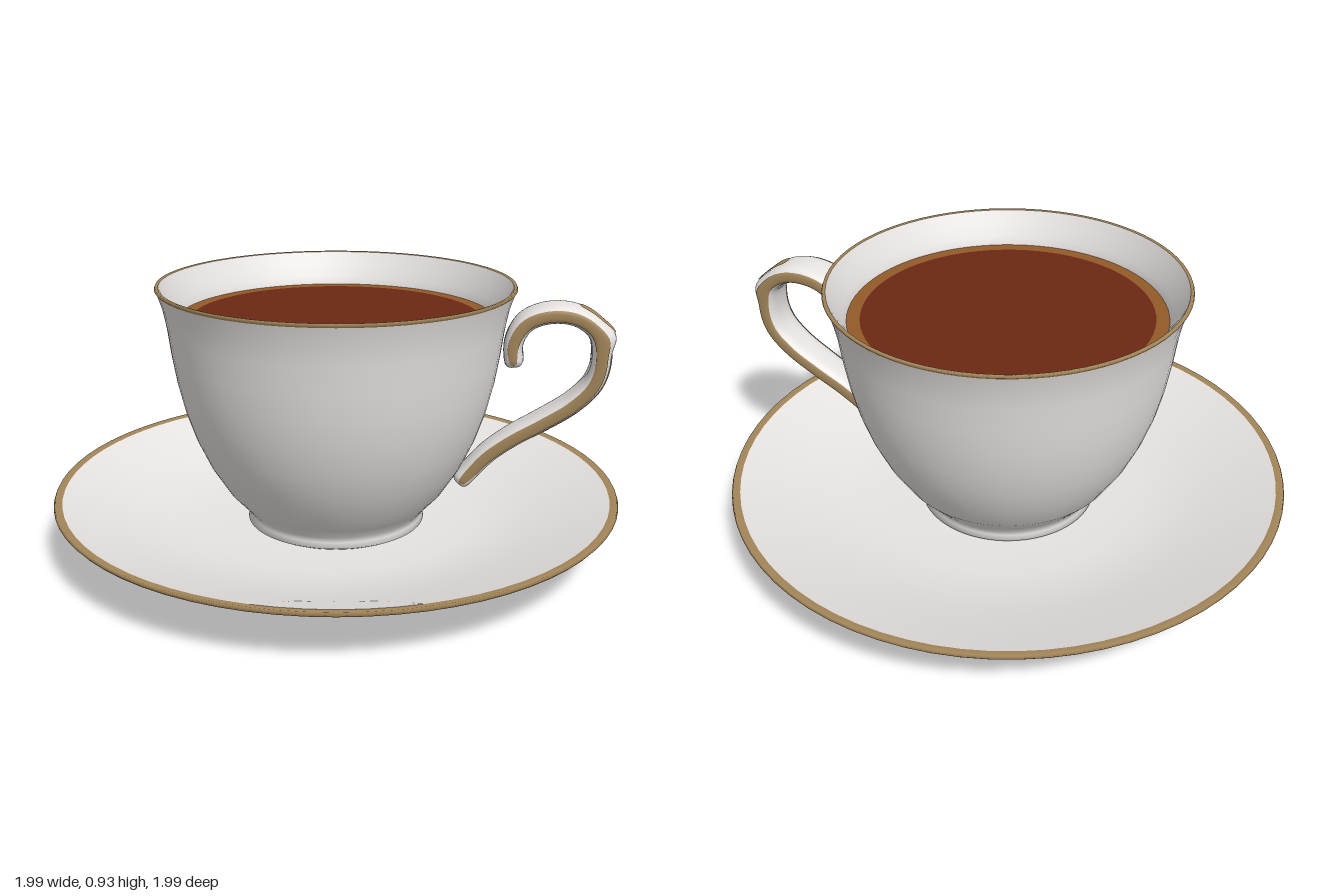
import * as THREE from 'three';
import { mergeVertices } from 'three/addons/utils/BufferGeometryUtils.js';

const material = (name, color, side = THREE.FrontSide) => {
  const m = new THREE.MeshStandardMaterial({ color, side });
  m.name = name;
  return m;
};

// Surface of revolution from [radius, height] pairs
const lathe = (pairs) => new THREE.LatheGeometry(pairs.map(([r, y]) => new THREE.Vector2(r, y)), 72);

// Centre line of the handle, from the upper scroll to the lower tip
const handlePath = new THREE.CatmullRomCurve3([
  [0.618, 0.66], [0.612, 0.75], [0.65, 0.82], [0.73, 0.853], [0.82, 0.845], [0.885, 0.795], [0.902, 0.7],
  [0.882, 0.62], [0.82, 0.547], [0.72, 0.475], [0.62, 0.41], [0.54, 0.345], [0.48, 0.275], [0.437, 0.225],
].map(([x, y]) => new THREE.Vector3(x, y, 0)), false, 'centripetal');

const soften = (v) => Math.sign(v) * Math.abs(v) ** 0.7;

// Point on the handle's skin: t along the path, a around it (0 = outer face)
function handlePoint(t, a, lift) {
  const c = handlePath.getPointAt(t);
  const d = handlePath.getTangentAt(t);
  const end = Math.min(1, Math.min(t, 1 - t) / 0.025);
  const round = Math.sqrt(1 - (1 - end) ** 2);
  const thumb = Math.cos(a) > 0 ? 0.02 * Math.exp(-(((t - 0.38) / 0.025) ** 2)) : 0;
  const n = soften(Math.cos(a)) * ((0.033 + thumb) * round + lift);
  const w = soften(Math.sin(a)) * ((0.075 - 0.02 * t * t) * round + lift);
  return [c.x - d.y * n, c.y + d.x * n, w];
}

// Sweep a strip of the handle's skin; halfAngle(s) is its half width, s from -1 to 1
function handleStrip(t0, t1, middle, halfAngle, lift, rows, cols) {
  const position = [];
  const index = [];
  for (let i = 0; i <= rows; i++) {
    const half = halfAngle((2 * i) / rows - 1);
    for (let j = 0; j <= cols; j++) {
      const a = middle + half * ((2 * j) / cols - 1);
      position.push(...handlePoint(t0 + ((t1 - t0) * i) / rows, a, lift));
      if (i < rows && j < cols) {
        const p = i * (cols + 1) + j;
        const q = p + cols + 1;
        index.push(p, p + 1, q, p + 1, q + 1, q);
      }
    }
  }
  const g = new THREE.BufferGeometry();
  g.setAttribute('position', new THREE.Float32BufferAttribute(position, 3));
  g.setIndex(index);
  const merged = mergeVertices(g, 1e-5);
  merged.computeVertexNormals();
  return merged;
}

export function createModel() {
  const porcelain = material('porcelain', 0xe8e4e2);
  const gold = material('gold trim', 0xa3865a, THREE.DoubleSide);
  const tea = material('tea', 0x6b2813);
  const teaEdgeColor = material('tea edge', 0x945b28);

  const model = new THREE.Group();
  const add = (name, geometry, mat, parent = model) => {
    const mesh = new THREE.Mesh(geometry, mat);
    mesh.name = name;
    parent.add(mesh);
    return mesh;
  };
  const group = (name) => {
    const g = new THREE.Group();
    g.name = name;
    model.add(g);
    return g;
  };

  // Saucer: underside, gilded edge, dished top
  const saucer = group('saucer');
  add('saucerUnderside', lathe([[0, 0.004], [0.3, 0], [0.42, 0.008], [0.52, 0.02], [0.6, 0.04],
    [0.75, 0.095], [0.88, 0.143], [0.99, 0.185]]), porcelain, saucer);
  add('saucerGoldRim', lathe([[0.99, 0.185], [0.997, 0.193], [0.993, 0.202], [0.968, 0.197]]), gold, saucer);
  add('saucerTop', lathe([[0.968, 0.197], [0.85, 0.157], [0.72, 0.115], [0.6, 0.084], [0.48, 0.068],
    [0.3, 0.062], [0, 0.06]]), porcelain, saucer);

  // Cup: foot and flared outer wall, gilded lip, inner wall
  const cup = group('cup');
  add('cupOutside', lathe([[0, 0.065], [0.3, 0.065], [0.318, 0.075], [0.312, 0.095], [0.315, 0.115],
    [0.345, 0.15], [0.39, 0.2], [0.452, 0.3], [0.497, 0.4], [0.53, 0.5], [0.553, 0.6], [0.569, 0.7],
    [0.58, 0.79], [0.593, 0.86], [0.611, 0.917]]), porcelain, cup);
  add('cupGoldLip', lathe([[0.611, 0.917], [0.617, 0.924], [0.614, 0.931], [0.604, 0.929]]), gold, cup);
  add('cupInside', lathe([[0.604, 0.929], [0.58, 0.885], [0.556, 0.84], [0.54, 0.8], [0.525, 0.7],
    [0.49, 0.5], [0.42, 0.32], [0.3, 0.17], [0, 0.13]]), porcelain, cup);

  // Tea surface with a paler edge
  const drink = group('drink');
  add('teaSurface', new THREE.CircleGeometry(0.5, 72).rotateX(-Math.PI / 2), tea, drink).position.y = 0.812;
  add('teaEdge', new THREE.RingGeometry(0.5, 0.546, 72).rotateX(-Math.PI / 2), teaEdgeColor, drink).position.y = 0.812;

  // Scrolled handle
  const handle = group('handle');
  add('handleBody', handleStrip(0, 1, 0, () => Math.PI, 0, 110, 32), porcelain, handle);

  // Gilding on both sides of the handle, on the thumb rest and down the outer face
  for (const side of [1, -1]) {
    const line = (s) => 0.42 * Math.sqrt(Math.max(0, 1 - s ** 12));
    add(side > 0 ? 'handleGoldFront' : 'handleGoldBack',
      handleStrip(0.015, 0.985, (side * Math.PI) / 2, line, 0.003, 100, 6), gold, handle);
  }
  const oval = (s) => 0.3 * Math.sqrt(Math.max(0, 1 - s ** 4));
  add('thumbRestGold', handleStrip(0.28, 0.375, 0, oval, 0.003, 24, 6), gold, handle);
  add('outerFaceGold', handleStrip(0.42, 0.76, 0, oval, 0.003, 40, 6), gold, handle);

  return model;
}
